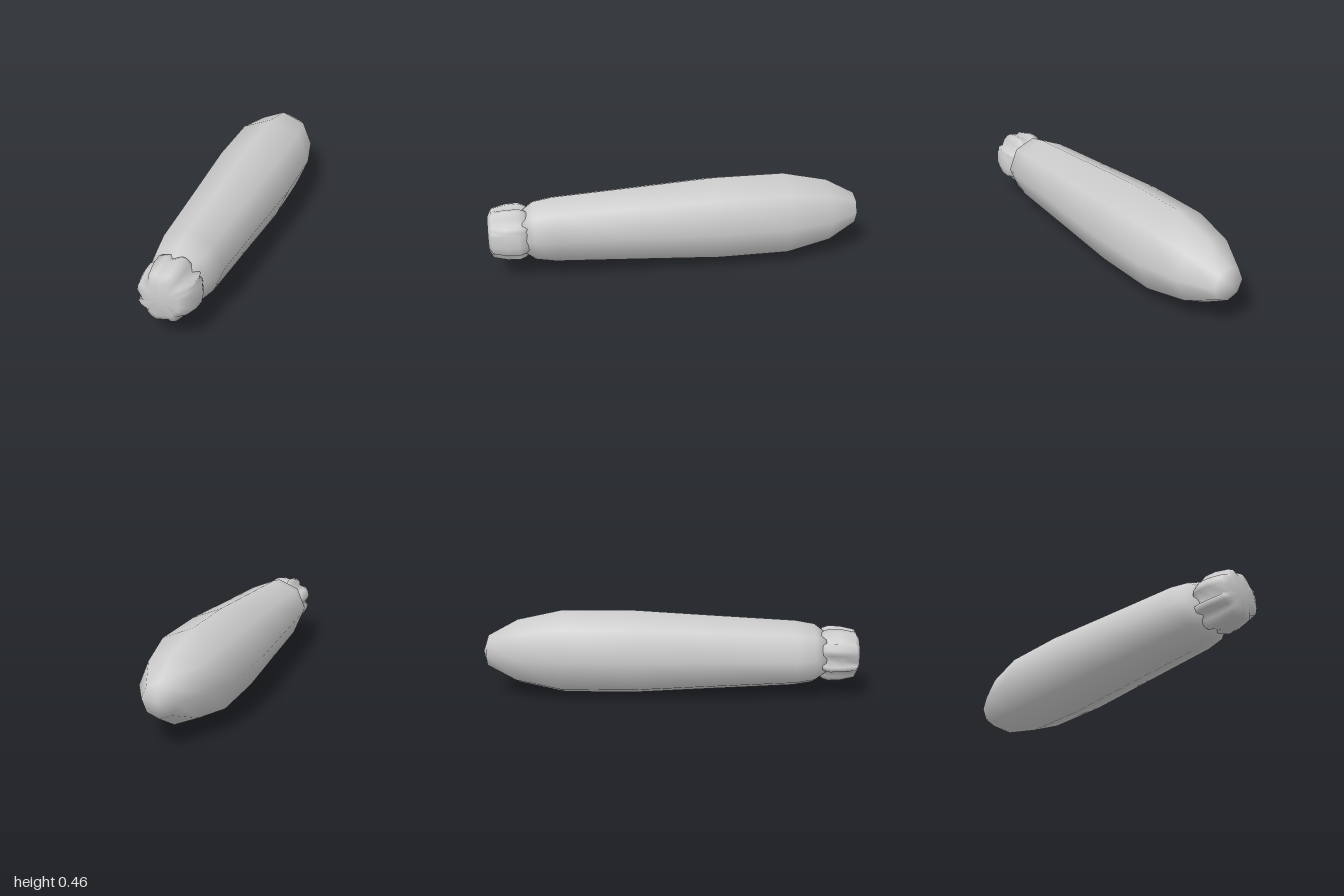
import * as THREE from 'three';
import { mergeVertices } from 'three/addons/utils/BufferGeometryUtils.js';

const CENTER_Y = 0.23;

// Skins rings of points (ordered from back to front, anticlockwise seen from the front) smoothly
function loft(rings) {
  const n = rings[0].length;
  const index = [];
  for (let i = 0; i < rings.length - 1; i++) {
    for (let j = 0; j < n; j++) {
      const k = (j + 1) % n;
      const a = i * n + j, b = i * n + k, c = a + n, d = b + n;
      if (i > 0) index.push(a, b, d);
      if (i < rings.length - 2) index.push(a, d, c);
    }
  }
  let geometry = new THREE.BufferGeometry();
  geometry.setAttribute('position', new THREE.Float32BufferAttribute(rings.flat(2), 3));
  geometry.setIndex(index);
  geometry = mergeVertices(geometry, 1e-5); // welds the poles
  geometry.computeVertexNormals();
  return geometry;
}

export function createModel() {
  const group = new THREE.Group();
  group.name = 'courgette';
  const material = new THREE.MeshStandardMaterial({ color: 0xcccccc });

  const addPart = (name, rings) => {
    const mesh = new THREE.Mesh(loft(rings), material);
    mesh.name = name;
    mesh.position.y = CENTER_Y;
    group.add(mesh);
  };

  // Body: eight-sided rings, [z, radius] from blossom end to shoulder
  const bodyProfile = [
    [-1, 0], [-0.97, 0.087], [-0.81, 0.175], [-0.57, 0.228], [-0.2, 0.229],
    [0.22, 0.204], [0.66, 0.179], [0.76, 0.161], [0.82, 0.115], [0.83, 0],
  ];
  addPart('body', bodyProfile.map(([z, r]) =>
    Array.from({ length: 8 }, (_, i) => {
      const a = (i * Math.PI) / 4;
      return [r * Math.cos(a), r * Math.sin(a), z];
    })));

  // Stem: irregular ribbed outline, fading to a rounder cut end
  const outline = [
    [0.146, -0.03], [0.141, 0.037], [0.125, 0.045], [0.132, 0.071], [0.089, 0.068],
    [0.082, 0.112], [0.057, 0.137], [0.036, 0.141], [-0.018, 0.118], [-0.032, 0.141],
    [-0.071, 0.132], [-0.062, 0.08], [-0.118, 0.08], [-0.135, 0.05], [-0.139, 0.023],
    [-0.1, -0.021], [-0.134, -0.043], [-0.119, -0.07], [-0.084, -0.077], [-0.08, -0.107],
    [-0.062, -0.132], [-0.041, -0.141], [0.029, -0.119], [0.045, -0.137], [0.077, -0.127],
    [0.066, -0.087], [0.121, -0.08], [0.137, -0.075],
  ];
  // [z, scale, roundness]
  const stemProfile = [
    [0.77, 0, 0], [0.78, 0.78, 0.3], [0.81, 0.93, 0], [0.84, 1, 0],
    [0.9, 0.99, 0.05], [0.975, 0.92, 0.45], [0.995, 0.68, 0.8], [1, 0, 1],
  ];
  addPart('stem', stemProfile.map(([z, scale, round]) =>
    outline.map(([x, y]) => {
      const r = Math.hypot(x, y);
      const s = scale * THREE.MathUtils.lerp(1, 0.13 / r, round);
      return [x * s, y * s, z];
    })));

  return group;
}
